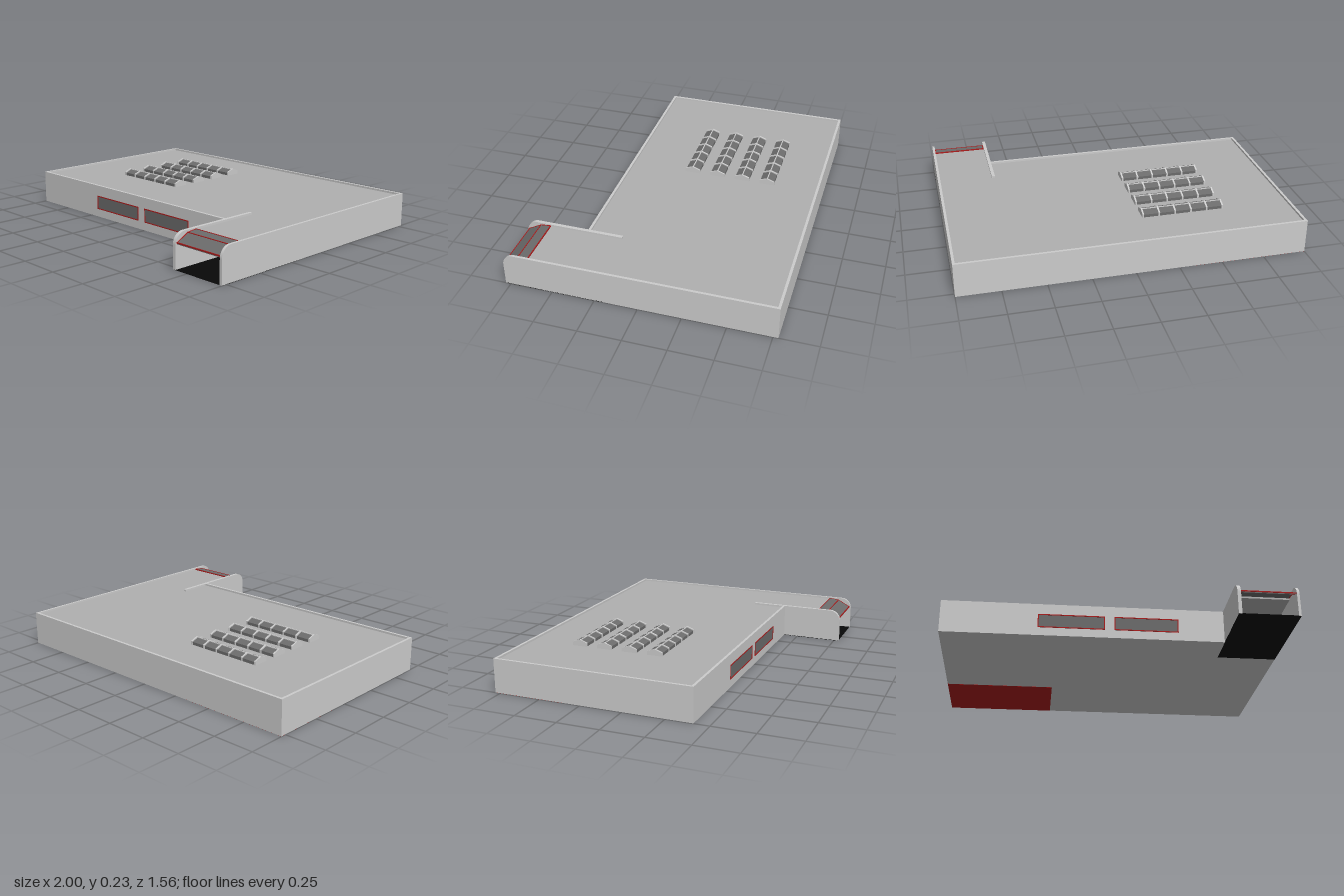
import * as THREE from 'three';

const mat = (color) => new THREE.MeshStandardMaterial({ color, flatShading: true });
const grey = mat(0xcccccc), roofGrey = mat(0xb0b0b0), glass = mat(0x6c6c6c);
const red = mat(0xaa1c1c), black = mat(0x080808);

const ROOF = 0.188, TOP = 0.2;

export function createModel() {
  const model = new THREE.Group();

  const add = (name, geometry, material, parent = model) => {
    const mesh = new THREE.Mesh(geometry, material);
    mesh.name = name;
    parent.add(mesh);
    return mesh;
  };
  // Box given by its limits on each axis
  const box = (name, x0, x1, y0, y1, z0, z1, material, parent) => {
    const g = new THREE.BoxGeometry(x1 - x0, y1 - y0, z1 - z0);
    g.translate((x0 + x1) / 2, (y0 + y1) / 2, (z0 + z1) / 2);
    return add(name, g, material, parent);
  };
  // Side profile in (z, y), swept along x
  const sweepX = (shape, x0, x1) =>
    new THREE.ExtrudeGeometry(shape, { depth: x1 - x0, bevelEnabled: false, curveSegments: 10 })
      .rotateY(-Math.PI / 2).translate(x1, 0, 0);
  const poly = (pts) => new THREE.Shape(pts.map(([a, b]) => new THREE.Vector2(a, b)));
  // Plan outline in (x, z), raised from y0 to y1
  const raise = (shape, y0, y1) =>
    new THREE.ExtrudeGeometry(shape, { depth: y1 - y0, bevelEnabled: false })
      .rotateX(Math.PI / 2).translate(0, y1, 0);

  // Main hall, notched where the entrance passage runs in
  const plan = poly([[-1, -0.78], [1, -0.78], [1, 0.2], [0.65, 0.2], [0.65, 0.41], [-1, 0.41]]);
  add('hall', raise(plan, 0, ROOF - 0.004), grey);
  const roofPlan = poly([[-0.985, -0.765], [0.985, -0.765], [0.985, 0.2], [0.65, 0.2], [0.65, 0.395], [-0.985, 0.395]]);
  add('roof', raise(roofPlan, ROOF - 0.004, ROOF), roofGrey);

  // Parapet round the roof edge
  const parapet = new THREE.Group();
  parapet.name = 'parapet';
  model.add(parapet);
  const rim = [[-1, 1, -0.78, -0.765], [-1, 0.65, 0.395, 0.41], [-1, -0.985, -0.765, 0.395], [0.985, 1, -0.765, 0.2]];
  for (const [x0, x1, z0, z1] of rim) box('parapetSide', x0, x1, ROOF - 0.004, TOP, z0, z1, grey, parapet);

  // Entrance side walls with a rounded front corner
  const wall = new THREE.Shape();
  wall.moveTo(0.2, 0);
  wall.lineTo(0.78, 0);
  wall.lineTo(0.78, 0.135);
  wall.absarc(0.715, 0.135, 0.065, 0, Math.PI / 2, false);
  wall.lineTo(0.2, TOP);
  for (const [x0, x1] of [[0.65, 0.67], [0.985, 1]]) add('entranceWall', sweepX(wall, x0, x1), grey);

  // Entrance roof and its bent front glazing
  const X0 = 0.67, X1 = 0.985;
  add('entranceRoof', sweepX(poly([[0.2, 0.172], [0.64, 0.172], [0.64, ROOF], [0.2, ROOF]]), X0, X1), roofGrey);
  const bend = [[0.635, 0.193], [0.695, 0.187], [0.77, 0.147]];
  const strip = (lift, depth) => poly([
    ...bend.map(([z, y]) => [z, y - depth]),
    ...bend.map(([z, y]) => [z, y + lift]).reverse(),
  ]);
  add('entranceGlazing', sweepX(strip(0, 0.01), X0, X1), glass);
  for (const x of [X0, X1 - 0.005]) add('glazingEdge', sweepX(strip(0.002, 0.011), x, x + 0.005), red);
  for (const [z, y] of bend) box('glazingBar', X0, X1, y - 0.005, y + 0.002, z - 0.002, z + 0.003, red);
  box('entranceFloor', 0.65, 1, -0.001, 0.002, 0.2, 0.779, black);

  // Red floor panel under the back corner
  box('floorPanel', -0.999, -0.33, -0.001, 0.001, -0.779, -0.36, red);

  // Front windows with thin red frames
  for (const [x0, x1] of [[-0.44, -0.05], [0.005, 0.38]]) {
    const win = new THREE.Group();
    win.name = 'frontWindow';
    model.add(win);
    const y0 = 0.05, y1 = 0.135, t = 0.006;
    box('pane', x0, x1, y0, y1, 0.4, 0.411, glass, win);
    for (const x of [x0, x1 - t]) box('frameSide', x, x + t, y0, y1, 0.4, 0.413, red, win);
    for (const y of [y0, y1 - t]) box('frameRail', x0, x1, y, y + t, 0.4, 0.413, red, win);
  }

  // Four rows of ridged skylights
  const ridge = (half, eave, peak) =>
    poly([[-half, ROOF], [half, ROOF], [half, eave], [0, peak], [-half, eave]]);
  for (const z of [-0.462, -0.305, -0.147, 0.012]) {
    const row = new THREE.Group();
    row.name = 'skylight';
    row.position.z = z;
    model.add(row);
    add('glass', sweepX(ridge(0.043, 0.205, 0.221), -0.588, -0.107), glass, row);
    for (let i = 0; i < 6; i++) {
      const x = -0.592 + i * 0.0955;
      add('rib', sweepX(ridge(0.046, 0.21, 0.227), x, x + 0.01), grey, row);
    }
    box('ridgeBar', -0.59, -0.107, 0.214, 0.224, -0.003, 0.003, grey, row);
  }
  return model;
}
